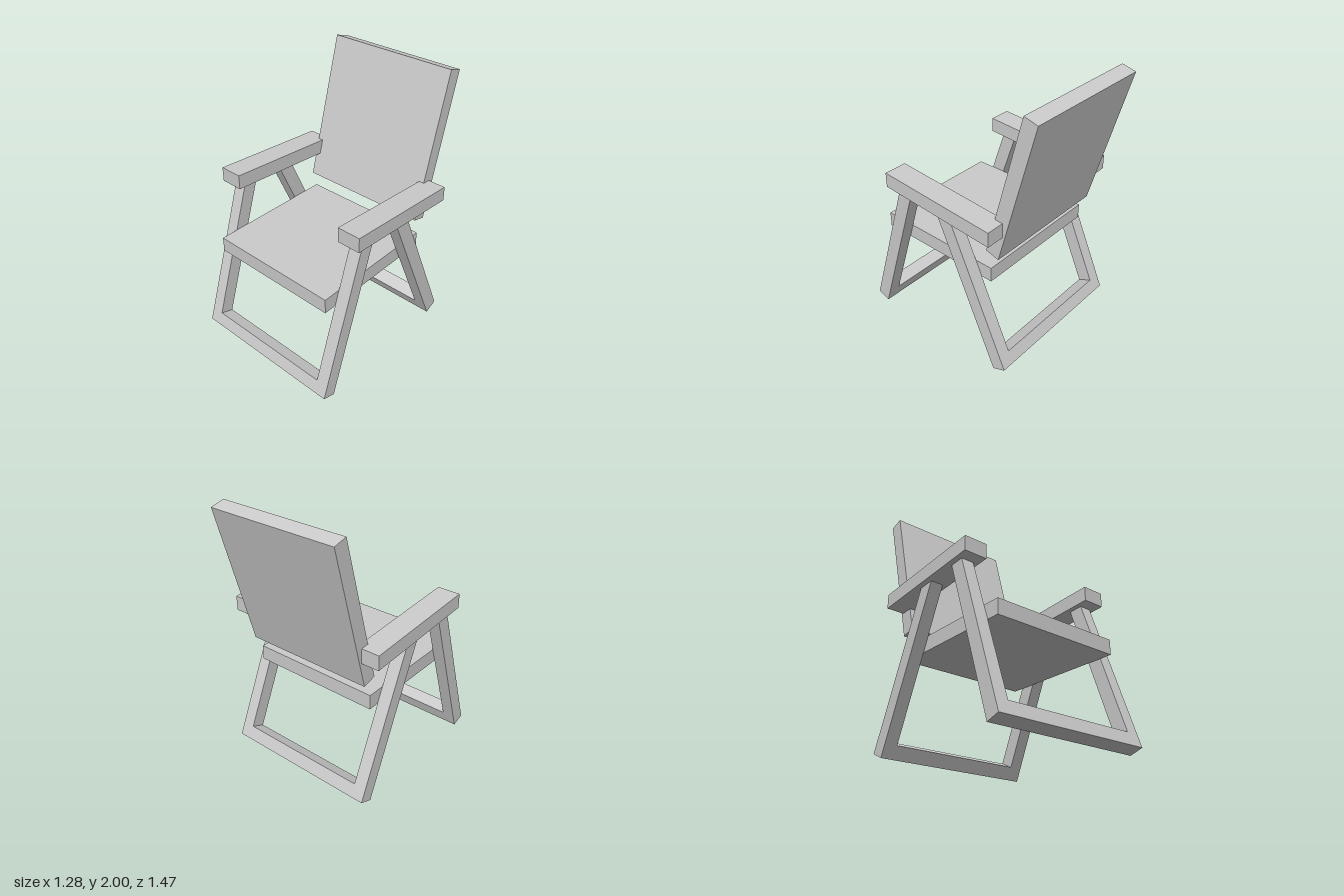
import * as THREE from 'three';

const material = new THREE.MeshStandardMaterial({ color: 0xcccccc, flatShading: true });

function add(group, name, geometry, x = 0, y = 0, z = 0, tilt = 0) {
  const mesh = new THREE.Mesh(geometry, material);
  mesh.name = name;
  mesh.position.set(x, y, z);
  mesh.rotation.x = THREE.MathUtils.degToRad(tilt);
  group.add(mesh);
  return mesh;
}

// U-shaped leg frame: two uprights joined by a floor bar, origin at the bottom middle
function legFrame(length, thickness) {
  const outer = 0.6, inner = 0.505, bar = 0.1;
  const shape = new THREE.Shape([
    [-outer, 0], [outer, 0], [outer, length], [inner, length],
    [inner, bar], [-inner, bar], [-inner, length], [-outer, length],
  ].map(([x, y]) => new THREE.Vector2(x, y)));
  return new THREE.ExtrudeGeometry(shape, { depth: thickness, bevelEnabled: false })
    .translate(0, 0, -thickness / 2);
}

// Armrest: a box sheared so it slopes down to the back while its ends stay upright
function armrestGeometry() {
  const geometry = new THREE.BoxGeometry(0.175, 0.11, 0.932);
  const p = geometry.attributes.position;
  for (let i = 0; i < p.count; i++) p.setY(i, p.getY(i) + p.getZ(i) * 0.067);
  geometry.computeVertexNormals();
  return geometry;
}

export function createModel() {
  const chair = new THREE.Group();
  chair.name = 'armchair';

  // Seat and reclined backrest
  add(chair, 'seat', new THREE.BoxGeometry(1.01, 0.112, 1.0), 0, 0.747, 0.113);
  add(chair, 'backrest', new THREE.BoxGeometry(1.01, 1.104, 0.108), 0, 1.453, -0.54, -15);

  // Leg frames lean towards each other, their tops set into the armrests
  add(chair, 'frontLegFrame', legFrame(1.235, 0.106), 0, 0.017, 0.683, -18.3);
  add(chair, 'rearLegFrame', legFrame(1.26, 0.11), 0, 0.032, -0.538, 24.2);

  // Armrests
  for (const [name, side] of [['leftArmrest', 1], ['rightArmrest', -1]]) {
    add(chair, name, armrestGeometry(), side * 0.5525, 1.187, -0.017);
  }
  return chair;
}
